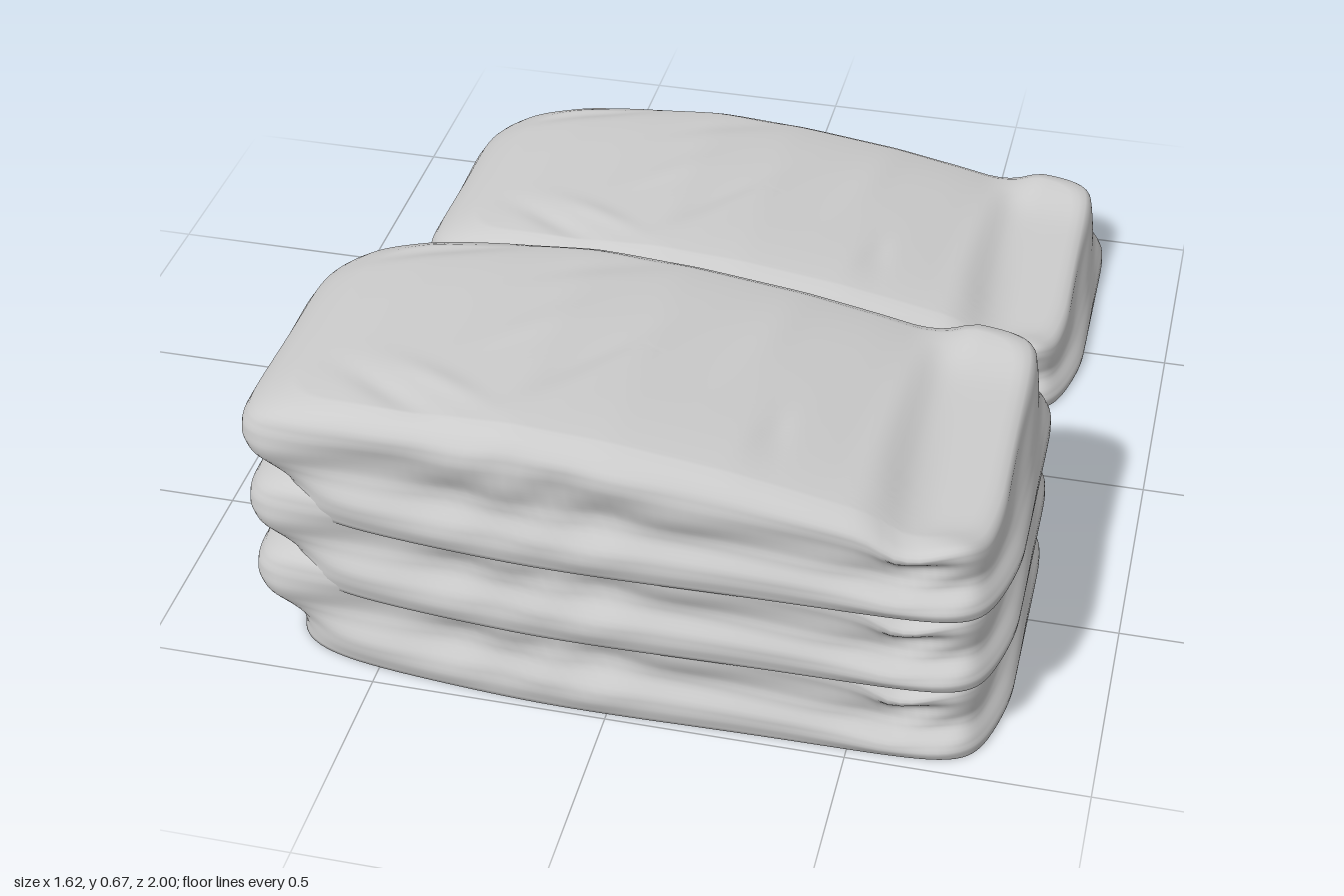
import * as THREE from 'three';

const { lerp, smoothstep } = THREE.MathUtils;
// Piecewise-linear lookup in a list of [key, value, ...] rows
function lookup(rows, k, col = 1) {
  if (k <= rows[0][0]) return rows[0][col];
  for (let i = 1; i < rows.length; i++) {
    const a = rows[i - 1], b = rows[i];
    if (k <= b[0]) return lerp(a[col], b[col], (k - a[0]) / (b[0] - a[0]));
  }
  return rows[rows.length - 1][col];
}
const bump = (v, centre, width) => Math.exp(-(((v - centre) / width) ** 2));

// Height of the sack along its length
const RIDGE = [[-0.82, 0.205], [-0.76, 0.225], [-0.68, 0.25], [-0.55, 0.275], [-0.4, 0.29],
  [-0.2, 0.302], [0, 0.291], [0.25, 0.259], [0.31, 0.248], [0.42, 0.227], [0.53, 0.203],
  [0.57, 0.184], [0.7, 0.177], [0.82, 0.168]];

// Side rings: height fraction, left x, right x, front z, back z
const RINGS = [
  [0.00, -0.71, 0.805, 0.376, 0.387],
  [0.12, -0.705, 0.805, 0.385, 0.390],
  [0.24, -0.72, 0.797, 0.380, 0.387],
  [0.36, -0.775, 0.787, 0.360, 0.374],
  [0.48, -0.805, 0.780, 0.355, 0.366],
  [0.62, -0.810, 0.774, 0.364, 0.370],
  [0.76, -0.803, 0.768, 0.370, 0.376],
  [0.88, -0.785, 0.764, 0.366, 0.374],
  [0.96, -0.750, 0.756, 0.348, 0.360],
  [1.00, -0.700, 0.738, 0.318, 0.334],
];

// Wrinkles on top: x, z, heading, half length, half width, height
const WRINKLES = [
  [-0.48, 0.24, -0.6, 0.14, 0.028, -0.008], [-0.38, 0.20, -0.5, 0.12, 0.026, 0.006],
  [-0.14, 0.10, 0.95, 0.16, 0.035, -0.007], [-0.03, 0.04, 1.05, 0.20, 0.035, 0.005],
  [-0.24, -0.02, 0.8, 0.14, 0.040, 0.004], [-0.50, -0.30, 0.25, 0.16, 0.024, -0.007],
  [-0.15, -0.28, 0.5, 0.14, 0.030, -0.005], [0.30, 0.18, 1.5, 0.09, 0.024, -0.007],
  [0.22, -0.12, 1.3, 0.16, 0.040, 0.004], [0.50, 0.05, 1.5, 0.25, 0.030, 0.004],
];

// Top surface, with the end flap lifted at its corners
function topHeight(x, z) {
  let h = (lookup(RIDGE, x - 0.015) + lookup(RIDGE, x) + lookup(RIDGE, x + 0.015)) / 3;
  const end = smoothstep(x, 0.5, 0.64), tip = smoothstep(x, 0.56, 0.74);
  h += end * (-0.012 - 0.06 * z + 0.026 * bump(z, -0.33, 0.09));
  h += tip * 0.035 * bump(z, 0.35, 0.06);
  h += (1 - end) * (0.018 * z - 0.016 * Math.min(1, Math.abs(z) / 0.36) ** 4);
  for (const [wx, wz, a, length, width, height] of WRINKLES) {
    const dx = x - wx, dz = z - wz;
    const along = dx * Math.cos(a) - dz * Math.sin(a);
    const across = dx * Math.sin(a) + dz * Math.cos(a);
    h += height * bump(along, 0, length) * bump(across, 0, width);
  }
  return h;
}

// Outward swelling and folds of the side cloth
function sideFold(x, s, f) {
  const mid = Math.sin(Math.PI * f);
  const warp = x + 0.08 * Math.sin(7 * x + s) + 0.1 * f;
  let d = 0.009 * bump(x, -0.05, 0.3) * (1 - 0.5 * f);
  d += 0.006 * mid * Math.sin(13 * warp + 5 * f + s);
  d += 0.003 * mid * Math.sin(29 * warp - 14 * f + 2 * s);
  d += 0.007 * bump(x, 0.02 + 0.25 * f, 0.12) * bump(f, 0.25, 0.12);
  d -= 0.022 * bump(x, 0.64, 0.09) * bump(f, 0.66, 0.14);
  d -= 0.012 * bump(x, -0.68, 0.08) * bump(f, 0.25, 0.15);
  return d;
}

// Unit rounded-square outline, walked evenly around its sides; rounder at the left end
const SIDE = 52, COUNT = SIDE * 4;
function outline(i) {
  const s = Math.floor(i / SIDE), t = 2 * (i % SIDE) / SIDE - 1;
  const [u, v] = [[1, -t], [-t, -1], [-1, t], [t, 1]][s];
  const n = u < 0 ? 7 : v < 0 ? 13 : 9;
  const r = (Math.abs(u) ** n + Math.abs(v) ** n) ** (1 / n);
  return [u / r, v / r];
}

function sackGeometry() {
  const pos = [], index = [];
  const SIDES = 30, TOPS = 40, ROWS = SIDES + TOPS;
  // Rings climb the sides, then shrink across the top
  for (let k = 0; k <= ROWS; k++) {
    const f = Math.min(k / SIDES, 1);
    const shrink = k > SIDES ? 1 - (k - SIDES) / (TOPS + 0.5) : 1;
    const [xl, xr, zf, zb] = [1, 2, 3, 4].map((c) => lookup(RINGS, f, c));
    const cx = (xl + xr) / 2, hx = (xr - xl) / 2;
    for (let i = 0; i < COUNT; i++) {
      const [u, v] = outline(i);
      let x = cx + u * hx * shrink;
      let z = v * (v > 0 ? zf : zb) * shrink;
      // the sack narrows toward its left end
      z *= 1 - (v > 0 ? 0.075 : 0.035) * smoothstep(-x, 0.1, 0.8);
      // the front right corner is drawn in
      const edge = Math.abs(u) ** 8;
      if (u > 0) x -= 0.035 * edge * smoothstep(v, 0.3, 1) * (1 - 0.5 * f) * shrink;
      if (shrink === 1) {
        const fade = smoothstep(1 - f, 0, 0.15), s = Math.sign(v);
        z += s * Math.min(1, Math.abs(v) * 1.1) ** 6 * sideFold(x, s, f) * fade;
        // puckered ends
        const pucker = edge * Math.sin(Math.PI * f);
        x += Math.sign(u) * pucker * (0.005 * Math.sin(11 * z + 6 * f) - 0.006 * v ** 4);
      }
      pos.push(x, f * topHeight(x, z), z);
    }
  }
  for (let k = 0; k < ROWS; k++) {
    for (let i = 0; i < COUNT; i++) {
      const j = (i + 1) % COUNT, a = k * COUNT + i, b = k * COUNT + j;
      index.push(a, b, a + COUNT, b, b + COUNT, a + COUNT);
    }
  }
  // Close the top and the flat base with fans
  const last = ROWS * COUNT, top = pos.length / 3, base = top + 1;
  pos.push(0, topHeight(0, 0), 0, 0.27, 0, 0.15);
  const baseFan = [];
  for (let i = 0; i < COUNT; i++) {
    const j = (i + 1) % COUNT;
    index.push(last + i, last + j, top);
    baseFan.push(i, base, j);
  }
  const g = new THREE.BufferGeometry();
  g.setAttribute('position', new THREE.Float32BufferAttribute(pos, 3));
  g.setIndex(index);
  g.computeVertexNormals();
  // Shade the base softly into the sides
  const normal = g.attributes.normal, n = new THREE.Vector3();
  for (let i = 0; i < COUNT; i++) {
    n.fromBufferAttribute(normal, i);
    n.y -= 0.7;
    n.normalize();
    normal.setXYZ(i, n.x, n.y, n.z);
  }
  normal.setXYZ(base, 0, -1, 0);
  g.setIndex([...index, ...baseFan]);
  return g;
}

export function createModel() {
  const group = new THREE.Group();
  group.name = 'sackPile';
  const geometry = sackGeometry();
  const material = new THREE.MeshStandardMaterial({ color: 0xcccccc });
  const place = (name, y, z) => {
    const sack = new THREE.Mesh(geometry, material);
    sack.name = name;
    sack.position.set(0, y, z);
    group.add(sack);
  };
  // Three stacked sacks in front, a single one behind
  ['bottomSack', 'middleSack', 'topSack'].forEach((name, i) => place(name, i * 0.183, 0.6));
  place('singleSack', 0, -0.6);
  return group;
}
